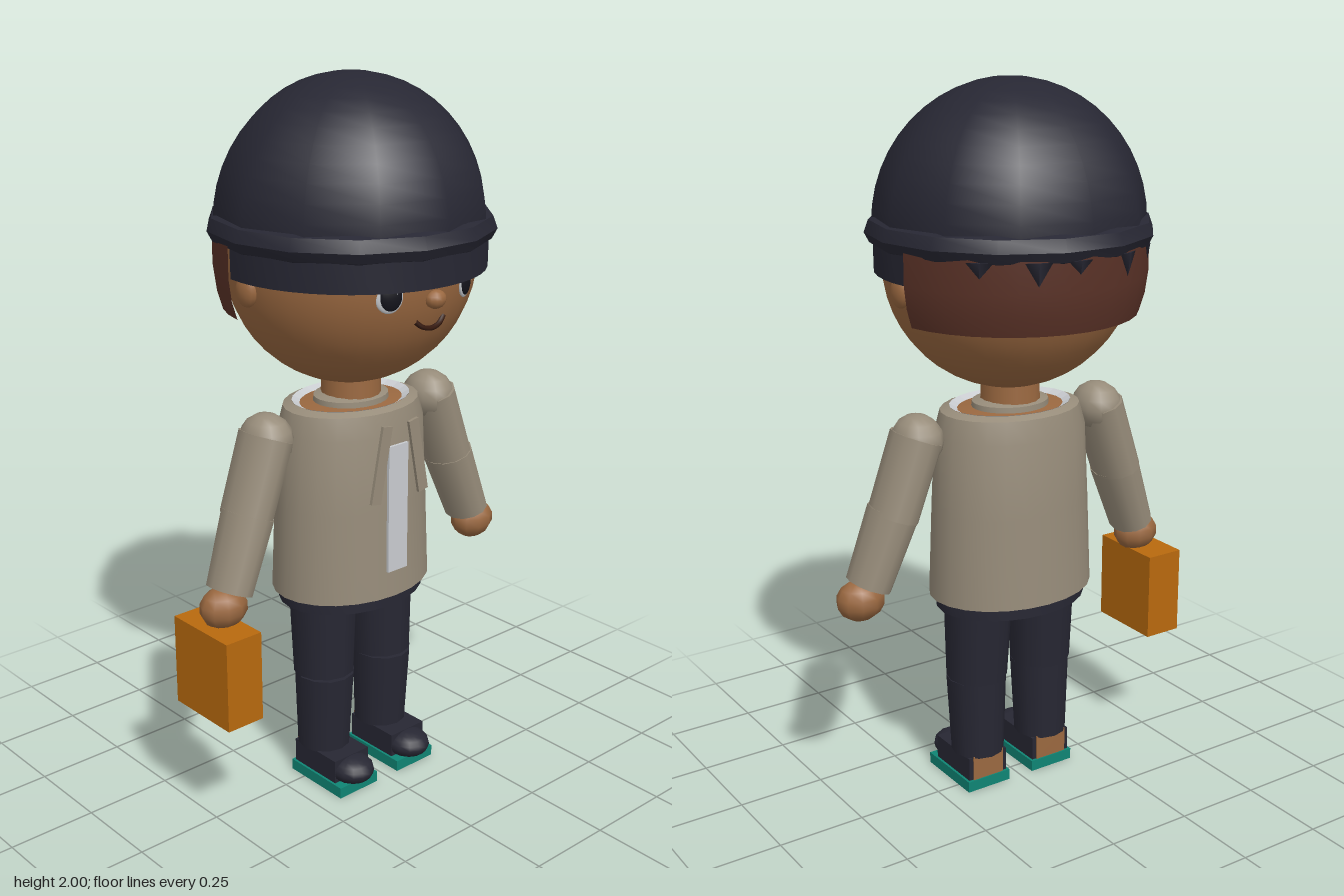
import * as THREE from 'three';
import { toCreasedNormals } from 'three/addons/utils/BufferGeometryUtils.js';

const paint = (name, color) =>
  Object.assign(new THREE.MeshStandardMaterial({ color, side: THREE.DoubleSide }), { name });

export function createModel() {
  const model = new THREE.Group();
  model.name = 'figure';
  const navy = paint('navy cloth', 0x272733);
  const skin = paint('skin', 0x9a6840);
  const brown = paint('brown hair', 0x5a3227);
  const coat = paint('taupe coat', 0x978c7a);
  const white = paint('white', 0xc9ccd0);
  const teal = paint('teal sole', 0x0f8574);
  const orange = paint('orange case', 0xb8690e);
  const black = paint('eye black', 0x14141c);
  const lip = paint('mouth brown', 0x35190f);

  function add(name, geo, mat, x = 0, y = 0, z = 0, parent = model) {
    const m = new THREE.Mesh(geo, mat);
    m.name = name;
    m.position.set(x, y, z);
    parent.add(m);
    return m;
  }
  const box = (w, h, d) => new THREE.BoxGeometry(w, h, d);
  // Turned part, profile listed from bottom to top, depth scaled by zs
  function turned(name, pts, mat, zs = 1, sides = 24, start = Math.PI / 2, sweep = Math.PI * 2) {
    const g = new THREE.LatheGeometry(pts.map(p => new THREE.Vector2(...p)), sides, start, sweep);
    return add(name, toCreasedNormals(g.scale(1, 1, zs), 0.6), mat);
  }
  function ball(name, mat, x, y, z, rx, ry, rz, w = 16, h = 12) {
    const m = add(name, new THREE.SphereGeometry(1, w, h), mat, x, y, z);
    m.scale.set(rx, ry, rz);
    return m;
  }
  // Tapered tube from point a to point b
  function limb(name, mat, a, b, ra, rb, zs) {
    const A = new THREE.Vector3(...a), B = new THREE.Vector3(...b);
    const d = A.clone().sub(B);
    const mid = A.add(B).multiplyScalar(0.5);
    const m = add(name, new THREE.CylinderGeometry(ra, rb, d.length(), 12), mat, ...mid);
    m.quaternion.setFromUnitVectors(new THREE.Vector3(0, 1, 0), d.normalize());
    m.scale.z = zs;
  }

  // Head and face
  ball('head', skin, 0, 1.525, 0, 0.348, 0.345, 0.325, 32, 24);
  ball('nose', skin, 0, 1.46, 0.322, 0.031, 0.025, 0.025, 12, 8);
  const smile = new THREE.CatmullRomCurve3([
    [-0.05, 1.405, 0.3], [-0.03, 1.389, 0.306], [0, 1.382, 0.308], [0.03, 1.389, 0.306], [0.05, 1.405, 0.3],
  ].map(p => new THREE.Vector3(...p)));
  add('mouth', new THREE.TubeGeometry(smile, 16, 0.007, 6), lip);
  for (const s of [-1, 1]) {
    ball('ear', skin, s * 0.345, 1.475, -0.01, 0.02, 0.042, 0.038, 12, 10);
    ball('eyeWhite', white, s * 0.133, 1.48, 0.292, 0.037, 0.042, 0.01).rotation.y = s * 0.43;
    ball('pupil', black, s * 0.132, 1.481, 0.297, 0.03, 0.036, 0.01).rotation.y = s * 0.43;
    const glint = add('eyeGlint', new THREE.CircleGeometry(0.005, 8), white, s * 0.133 + 0.008, 1.49, 0.309);
    glint.rotation.y = s * 0.43;
  }

  // Hair around the back of the head
  turned('hair', [[0.345, 1.39], [0.36, 1.44], [0.368, 1.5], [0.368, 1.6]], brown, 1, 16,
    Math.PI / 2 + 0.165, Math.PI - 0.33);

  // Knitted hat: dome, rolled brim and front band
  const dome = new THREE.SphereGeometry(0.366, 12, 12, 0, Math.PI * 2, 0, Math.PI / 2);
  add('hatDome', dome.scale(1, 0.38 / 0.366, 1), navy, 0, 1.62);
  turned('hatBrim', [[0.355, 1.57], [0.373, 1.578], [0.387, 1.605], [0.375, 1.638], [0.355, 1.645]], navy, 1, 14);
  turned('hatBand', [[0.345, 1.5], [0.363, 1.5], [0.364, 1.58]], navy, 1, 24, -Math.PI / 2 - 0.16, Math.PI + 0.32);
  // Ragged hat edge over the hair
  for (const [a, len] of [[-0.75, 0.04], [-0.35, 0.06], [0.1, 0.035], [0.4, 0.06], [0.8, 0.04]]) {
    const tip = add('hatFringe', new THREE.ConeGeometry(0.035, len, 4), navy,
      Math.sin(a) * 0.368, 1.58 - len / 2, -Math.cos(a) * 0.368);
    tip.rotation.set(Math.PI, a, 0);
    tip.scale.z = 0.2;
  }

  // Neck, shoulders, shirt rim and coat
  add('neck', new THREE.CylinderGeometry(0.08, 0.085, 0.12, 16), skin, 0, 1.16);
  turned('coatBody', [[0, 0.592], [0.244, 0.592], [0.233, 0.85], [0.222, 1.06], [0.205, 1.12], [0.178, 1.13]], coat, 0.78);
  turned('shirtRim', [[0.178, 1.131], [0.155, 1.12]], white, 0.78).geometry.computeVertexNormals();
  turned('shoulderSkin', [[0.16, 1.118], [0.07, 1.128]], skin, 0.78);
  turned('collar', [[0.112, 1.115], [0.11, 1.138], [0.082, 1.145]], coat, 0.85);

  // Shirt front and two neck ties
  add('shirtFront', box(0.07, 0.365, 0.008), white, 0, 0.853, 0.19);
  for (const s of [-1, 1])
    add('neckTie', box(0.034, 0.215, 0.009), coat, s * 0.067, 0.992, 0.197).rotation.z = s * 0.19;

  // Waistband and underside
  turned('waistband', [[0.19, 0.556], [0.225, 0.556], [0.225, 0.6]], navy, 0.77);
  turned('pelvis', [[0, 0.565], [0.195, 0.565], [0.195, 0.59]], skin, 0.77);

  for (const s of [-1, 1]) {
    // Arm
    ball('shoulder', coat, s * 0.298, 1.07, 0, 0.07, 0.072, 0.08, 12, 8);
    limb('upperArm', coat, [s * 0.3, 1.08, 0], [s * 0.375, 0.87, 0.004], 0.068, 0.066, 1.25);
    limb('foreArm', coat, [s * 0.372, 0.88, 0.008], [s * 0.447, 0.685, 0.018], 0.068, 0.06, 1.2);
    ball('hand', skin, s * 0.47, 0.645, 0.022, 0.07, 0.058, 0.057, 10, 7);

    // Trouser leg
    limb('thigh', navy, [s * 0.107, 0.575, 0.003], [s * 0.11, 0.335, 0.008], 0.097, 0.087, 1);
    limb('shin', navy, [s * 0.11, 0.332, 0.011], [s * 0.11, 0.1, 0.006], 0.085, 0.075, 1.03);

    // Shoe on a sole, open at the heel
    add('sole', box(0.14, 0.032, 0.215), teal, s * 0.11, 0.016, 0.052);
    add('heel', box(0.1, 0.075, 0.09), skin, s * 0.11, 0.068, -0.007);
    add('shoe', box(0.126, 0.07, 0.175), navy, s * 0.11, 0.066, 0.04);
    ball('toe', navy, s * 0.11, 0.06, 0.125, 0.063, 0.04, 0.071, 14, 10);
  }

  // Case carried in the right hand
  add('case', box(0.114, 0.255, 0.23), orange, -0.491, 0.473, 0.02);
  return model;
}
